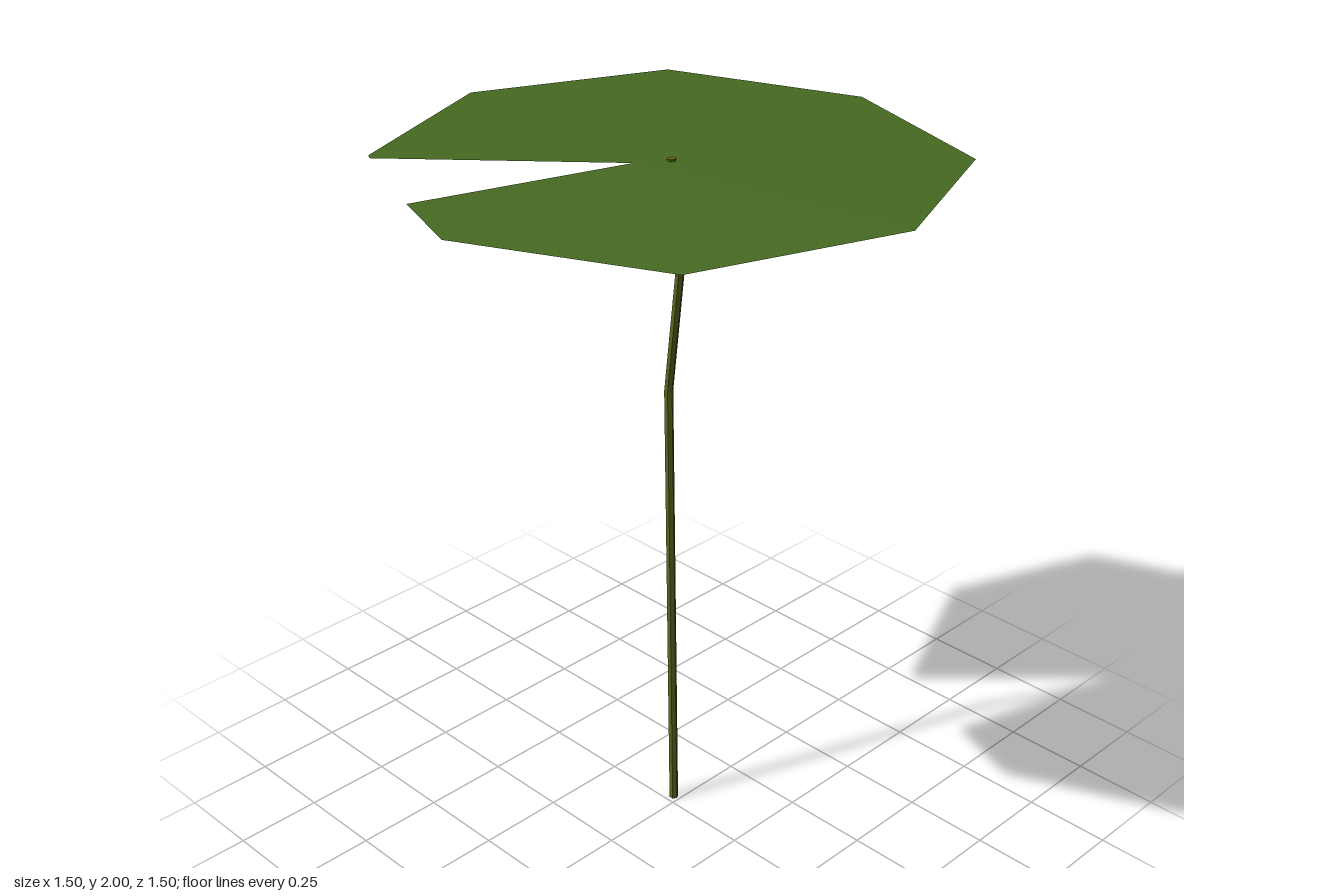
import * as THREE from 'three';

const leafGreen = new THREE.MeshStandardMaterial({ color: 0x476b22, side: THREE.DoubleSide, flatShading: true });
leafGreen.name = 'leaf green';
const stemOlive = new THREE.MeshStandardMaterial({ color: 0x5f6420, flatShading: true });
stemOlive.name = 'stem olive';

// Gently warped pad: a fan of triangles from the tip of the notch to the rim
function makeLeaf() {
  const points = [
    [-0.09, 1.985, -0.05], // notch tip
    [-0.66, 1.985, -0.22], [-0.75, 1.988, 0.02], [-0.52, 1.99, 0.545],
    [0.02, 1.997, 0.745], [0.54, 1.98, 0.52], [0.745, 1.972, -0.02],
    [0.52, 1.985, -0.54], [-0.02, 1.992, -0.75], [-0.54, 2.0, -0.52], [-0.55, 2.0, -0.5],
  ];
  const index = [];
  for (let i = 1; i < points.length - 1; i++) index.push(0, i, i + 1);
  const geometry = new THREE.BufferGeometry();
  geometry.setAttribute('position', new THREE.Float32BufferAttribute(points.flat(), 3));
  geometry.setIndex(index);
  geometry.computeVertexNormals();
  const leaf = new THREE.Mesh(geometry, leafGreen);
  leaf.name = 'leaf';
  return leaf;
}

// Thin stalk whose rings follow a slightly kinked line
function makeStem() {
  const line = [ // top to bottom
    [-0.008, 1.99, 0.002], [0.024, 1.67, 0], [0.024, 1.33, -0.04],
    [0.024, 0.67, -0.03], [0.024, 0, -0.02],
  ];
  const rows = line.length - 1;
  const geometry = new THREE.CylinderGeometry(0.012, 0.013, 1, 6, rows);
  const position = geometry.attributes.position;
  for (let i = 0; i < position.count; i++) {
    const [x, y, z] = line[Math.round((0.5 - position.getY(i)) * rows)];
    position.setXYZ(i, position.getX(i) + x, y, position.getZ(i) + z);
  }
  geometry.computeVertexNormals();
  const stem = new THREE.Mesh(geometry, stemOlive);
  stem.name = 'stem';
  return stem;
}

export function createModel() {
  const group = new THREE.Group();
  group.name = 'lily pad';
  group.add(makeLeaf(), makeStem());
  return group;
}
